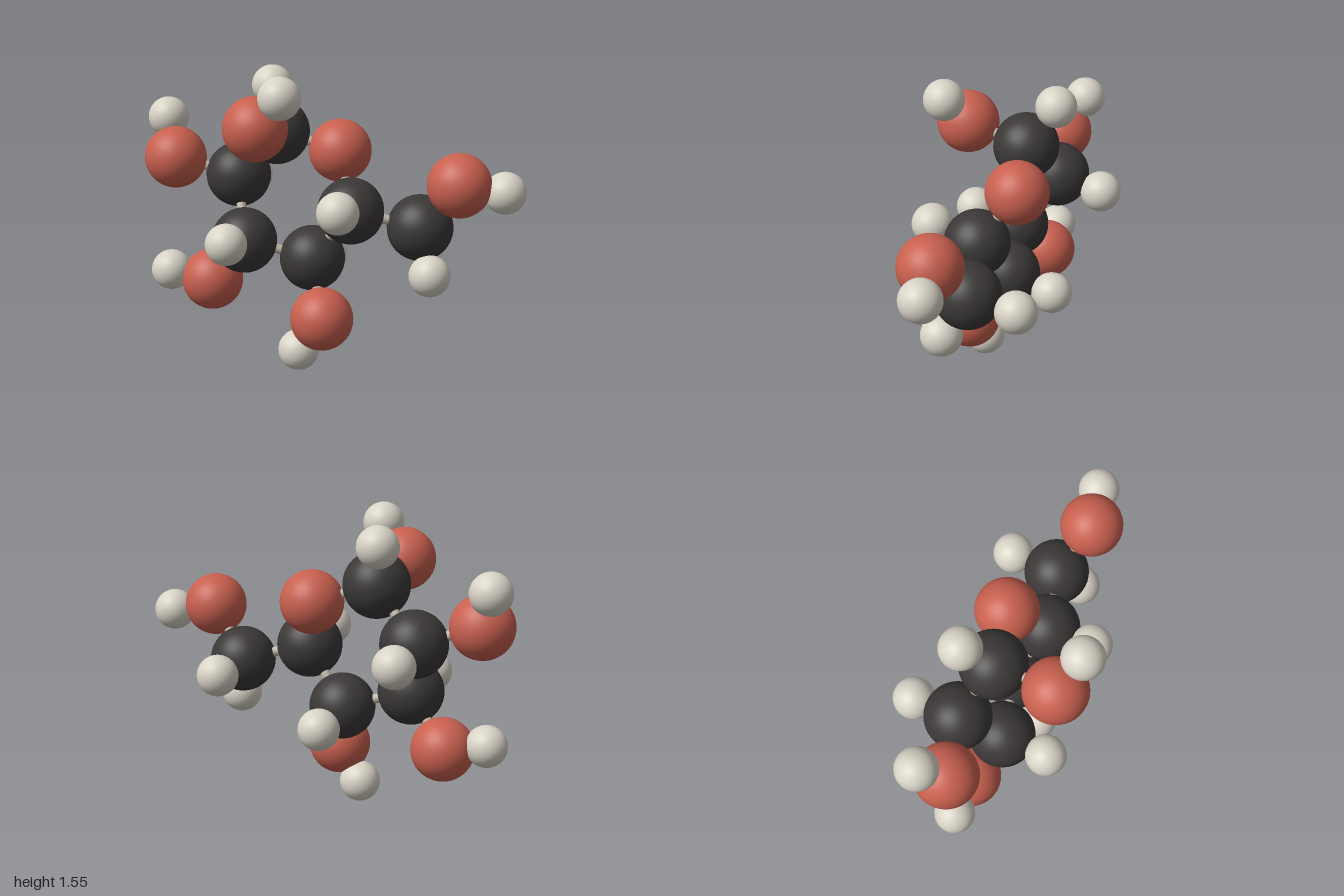
import * as THREE from 'three';

// Ball radius by atom type
const RADIUS = { carbon: 0.168, oxygen: 0.16, hydrogen: 0.105 };
const BOND_RADIUS = 0.025;

// Atom: key -> [type, x, y, z]
const ATOMS = {
  c1: ['carbon', -0.28, 1.21, -0.035],
  c2: ['carbon', -0.515, 0.955, -0.115],
  c3: ['carbon', -0.425, 0.655, 0.075],
  c4: ['carbon', -0.09, 0.56, -0.02],
  c5: ['carbon', 0.13, 0.84, 0.05],
  c6: ['carbon', 0.463, 0.75, -0.057],
  o1: ['oxygen', -0.287, 1.28, 0.293],
  o2: ['oxygen', -0.823, 1.05, -0.013],
  o3: ['oxygen', -0.634, 0.406, -0.01],
  o4: ['oxygen', 0.008, 0.294, 0.155],
  o5: ['oxygen', 0.03, 1.11, -0.122],
  o6: ['oxygen', 0.673, 1.0, 0.032],
  h1: ['hydrogen', -0.343, 1.422, -0.168],
  h2: ['hydrogen', -0.517, 0.903, -0.36],
  h3: ['hydrogen', -0.436, 0.697, 0.325],
  h4: ['hydrogen', -0.08, 0.505, -0.272],
  h5: ['hydrogen', 0.129, 0.888, 0.299],
  h6a: ['hydrogen', 0.537, 0.533, 0.053],
  h6b: ['hydrogen', 0.468, 0.723, -0.312],
  ho1: ['hydrogen', -0.142, 1.445, 0.357],
  ho2: ['hydrogen', -0.896, 1.24, -0.115],
  ho3: ['hydrogen', -0.853, 0.447, 0.015],
  ho4: ['hydrogen', -0.123, 0.108, 0.126],
  ho6: ['hydrogen', 0.89, 0.962, -0.028],
};

const BONDS = [
  // ring
  'c1 c2', 'c2 c3', 'c3 c4', 'c4 c5', 'c5 o5', 'o5 c1',
  // side arms
  'c5 c6', 'c1 o1', 'c2 o2', 'c3 o3', 'c4 o4', 'c6 o6',
  // hydrogens on carbon
  'c1 h1', 'c2 h2', 'c3 h3', 'c4 h4', 'c5 h5', 'c6 h6a', 'c6 h6b',
  // hydrogens on oxygen
  'o1 ho1', 'o2 ho2', 'o3 ho3', 'o4 ho4', 'o6 ho6',
];

function material(name, color) {
  const m = new THREE.MeshStandardMaterial({ color });
  m.name = name;
  return m;
}

export function createModel() {
  const model = new THREE.Group();
  model.name = 'molecule';

  const materials = {
    carbon: material('charcoal', 0x3b3737),
    oxygen: material('brick red', 0xc8604f),
    hydrogen: material('pale ivory', 0xd8d3c6),
    bond: material('bond beige', 0xbcb4a4),
  };

  // Atoms: one shared sphere per type
  const spheres = {};
  for (const type in RADIUS) spheres[type] = new THREE.SphereGeometry(RADIUS[type], 40, 28);
  const positions = {};
  for (const [key, [type, x, y, z]] of Object.entries(ATOMS)) {
    const ball = new THREE.Mesh(spheres[type], materials[type]);
    ball.name = `${type}Atom_${key}`;
    ball.position.set(x, y, z);
    positions[key] = ball.position;
    model.add(ball);
  }

  // Bonds: a unit stick stretched between two atom centres
  const stick = new THREE.CylinderGeometry(BOND_RADIUS, BOND_RADIUS, 1, 16, 1, true);
  const up = new THREE.Vector3(0, 1, 0);
  for (const pair of BONDS) {
    const [a, b] = pair.split(' ').map((key) => positions[key]);
    const along = b.clone().sub(a);
    const bond = new THREE.Mesh(stick, materials.bond);
    bond.name = `bond_${pair.replace(' ', '_')}`;
    bond.position.copy(a).lerp(b, 0.5);
    bond.scale.y = along.length();
    bond.quaternion.setFromUnitVectors(up, along.normalize());
    model.add(bond);
  }

  return model;
}
